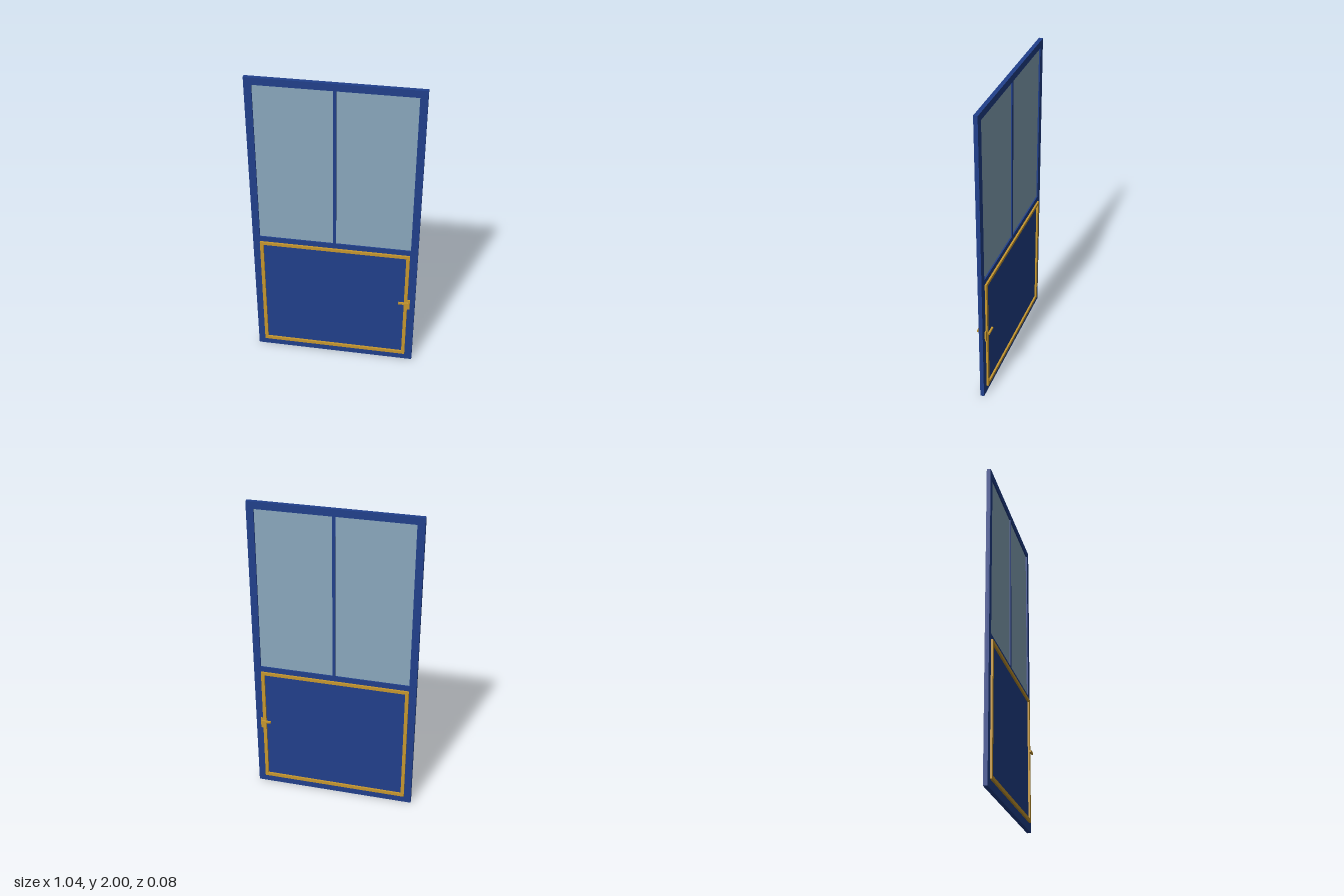
import * as THREE from 'three';

export function createModel() {
  const door = new THREE.Group();
  door.name = 'door';

  const blue = new THREE.MeshStandardMaterial({ color: 0x21408c });
  blue.name = 'blue paint';
  const gold = new THREE.MeshStandardMaterial({ color: 0xc8982f });
  gold.name = 'brass';
  const glass = new THREE.MeshStandardMaterial({ color: 0x8ba9be });
  glass.name = 'pale glass';

  // Rectangle outline, usable as a shape or a hole
  const rect = (Type, x0, x1, y0, y1) => new Type([
    new THREE.Vector2(x0, y0), new THREE.Vector2(x1, y0),
    new THREE.Vector2(x1, y1), new THREE.Vector2(x0, y1),
  ]);

  const add = (name, geometry, material) => {
    const mesh = new THREE.Mesh(geometry, material);
    mesh.name = name;
    door.add(mesh);
    return mesh;
  };

  // Box given by its limits on each axis
  const box = (name, material, x0, x1, y0, y1, z0, z1) => {
    const mesh = add(name, new THREE.BoxGeometry(x1 - x0, y1 - y0, z1 - z0), material);
    mesh.position.set((x0 + x1) / 2, (y0 + y1) / 2, (z0 + z1) / 2);
    return mesh;
  };

  // Flat ring or plate extruded from z0 to z1
  const plate = (name, material, shape, z0, z1) => {
    const geometry = new THREE.ExtrudeGeometry(shape, { depth: z1 - z0, bevelEnabled: false });
    geometry.translate(0, 0, z0);
    return add(name, geometry, material);
  };

  // Door leaf: solid below, two window openings above
  const half = 0.0125;
  const leaf = rect(THREE.Shape, -0.52, 0.52, 0, 2);
  const openings = [[-0.475, -0.009], [0.009, 0.475]];
  for (const [x0, x1] of openings) leaf.holes.push(rect(THREE.Path, x0, x1, 0.9, 1.955));
  plate('doorLeaf', blue, leaf, -half, half);

  // Window panes
  for (const [x0, x1] of openings) box('windowPane', glass, x0, x1, 0.9, 1.955, -0.004, 0.004);

  // Brass trim, lock plate and floating lever on both faces
  for (const side of [1, -1]) {
    const span = (a, b) => (side > 0 ? [a, b] : [-b, -a]);
    const trim = rect(THREE.Shape, -0.475, 0.472, 0.05, 0.865);
    trim.holes.push(rect(THREE.Path, -0.453, 0.45, 0.072, 0.845));
    plate('panelTrim', gold, trim, ...span(half, 0.024));
    box('lockPlate', gold, 0.45, 0.488, 0.438, 0.512, ...span(half, 0.02));
    box('handleLever', gold, 0.416, 0.478, 0.491, 0.504, ...span(0.03, 0.041));
  }

  return door;
}
